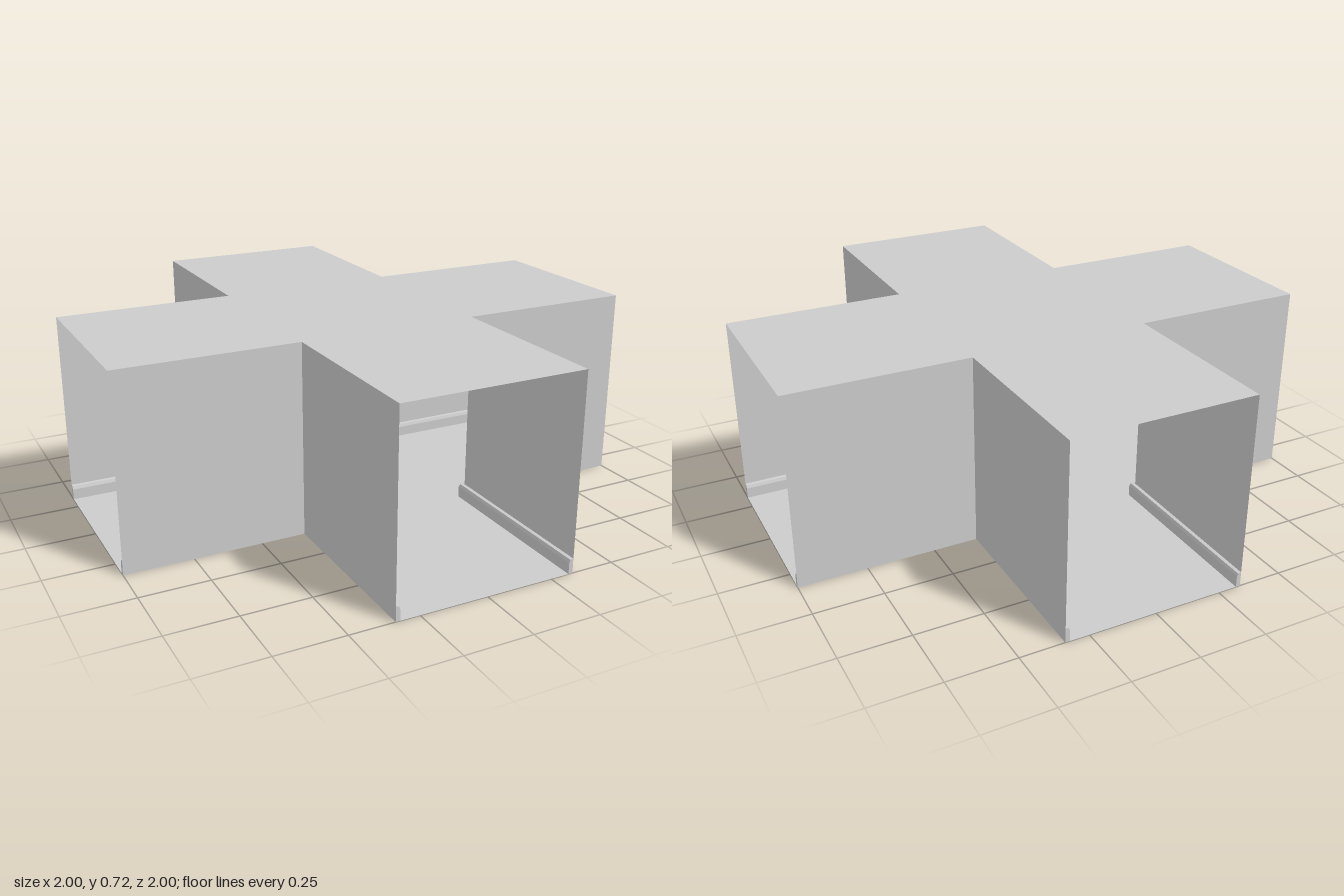
import * as THREE from 'three';

const W = 0.337;  // half width of each corridor
const H = 0.716;  // wall height
const material = new THREE.MeshStandardMaterial({ color: 0xcccccc, side: THREE.DoubleSide });

// Sweeps a profile of [depth from wall, height] points around one inner corner.
function cornerSweep(profile, capped) {
  const sections = [
    profile.map(([d, y]) => [1, y, W - d]),
    profile.map(([d, y]) => [W - d, y, W - d]),
    profile.map(([d, y]) => [W - d, y, 1]),
  ];
  const pos = [];
  const tri = (a, b, c) => pos.push(...a, ...b, ...c);
  for (let i = 0; i < 2; i++) {
    const s = sections[i], t = sections[i + 1];
    for (let j = 0; j < profile.length - 1; j++) {
      tri(s[j], t[j], t[j + 1]);
      tri(s[j], t[j + 1], s[j + 1]);
    }
  }
  // Close both ends with fans
  if (capped) {
    for (let j = 1; j < profile.length - 1; j++) {
      tri(sections[0][0], sections[0][j], sections[0][j + 1]);
      tri(sections[2][0], sections[2][j + 1], sections[2][j]);
    }
  }
  const geometry = new THREE.BufferGeometry();
  geometry.setAttribute('position', new THREE.Float32BufferAttribute(pos, 3));
  geometry.computeVertexNormals();
  return geometry;
}

export function createModel() {
  const group = new THREE.Group();
  group.name = 'corridorCrossing';
  const add = (name, geometry) => {
    const mesh = new THREE.Mesh(geometry, material);
    mesh.name = name;
    group.add(mesh);
    return mesh;
  };

  // Plus-shaped floor and ceiling
  const plus = new THREE.Shape([
    [1, -W], [1, W], [W, W], [W, 1], [-W, 1], [-W, W],
    [-1, W], [-1, -W], [-W, -W], [-W, -1], [W, -1], [W, -W],
  ].map(([x, y]) => new THREE.Vector2(x, y)));
  add('floor', new THREE.ShapeGeometry(plus).rotateX(-Math.PI / 2));
  add('ceiling', new THREE.ShapeGeometry(plus).rotateX(Math.PI / 2).translate(0, H, 0));

  // Four wall corners with mitred skirting boards inside
  const wall = cornerSweep([[0, 0], [0, H]], false);
  const skirting = cornerSweep(
    [[0.016, 0], [0.016, 0.04], [0.012, 0.052], [0, 0.054], [0, 0]], true);
  for (let k = 0; k < 4; k++) {
    add('wallCorner' + (k + 1), wall).rotation.y = k * Math.PI / 2;
    add('skirtingBoard' + (k + 1), skirting).rotation.y = k * Math.PI / 2;
  }
  return group;
}
